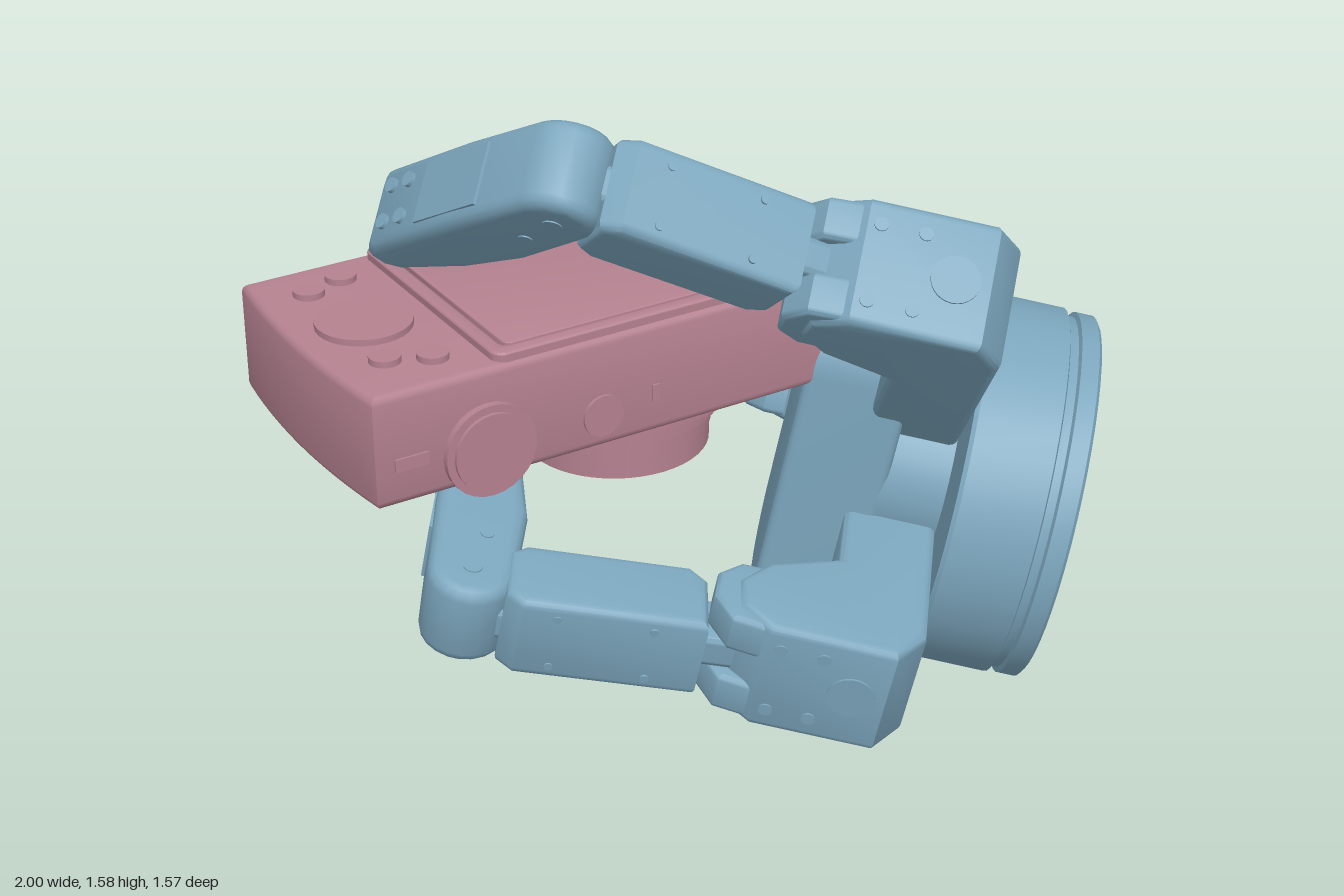
import * as THREE from 'three';
import { toCreasedNormals } from 'three/addons/utils/BufferGeometryUtils.js';

const blue = new THREE.MeshStandardMaterial({ color: 0x7ca6bd });
const pink = new THREE.MeshStandardMaterial({ color: 0xb58290 });

function add(parent, name, geometry, material, x = 0, y = 0, z = 0) {
  const mesh = new THREE.Mesh(geometry, material);
  mesh.name = name;
  mesh.position.set(x, y, z);
  parent.add(mesh);
  return mesh;
}

function bevelled(shape, thickness, b) {
  const geo = new THREE.ExtrudeGeometry(shape, {
    depth: thickness - 2 * b, bevelSize: b, bevelThickness: b, bevelOffset: -b,
    bevelSegments: 3, curveSegments: 12,
  });
  geo.translate(0, 0, b - thickness / 2);
  return toCreasedNormals(geo, 0.6);
}

// Side profile thickened evenly along z
const slab = (points, width, b) =>
  bevelled(new THREE.Shape(points.map(([x, y]) => new THREE.Vector2(x, y))), width, b);

// Plan shape (x, z) raised from y0 to y1
const plate = (shape, y0, y1, b) =>
  bevelled(shape, y1 - y0, b).rotateX(Math.PI / 2).translate(0, (y0 + y1) / 2, 0);

const lathe = (points) => toCreasedNormals(
  new THREE.LatheGeometry(points.map(([x, y]) => new THREE.Vector2(x, y)), 48), 0.5);

function roundRect(x0, y0, x1, y1, r) {
  const s = new THREE.Shape();
  s.absarc(x1 - r, y1 - r, r, 0, Math.PI / 2);
  s.absarc(x0 + r, y1 - r, r, Math.PI / 2, Math.PI);
  s.absarc(x0 + r, y0 + r, r, Math.PI, Math.PI * 1.5);
  s.absarc(x1 - r, y0 + r, r, Math.PI * 1.5, Math.PI * 2);
  return s;
}

// Short cylinder along the chosen axis
function disc(parent, name, r, h, axis, material, x, y, z) {
  const geo = new THREE.CylinderGeometry(r, r, h, 28);
  if (axis === 'x') geo.rotateZ(Math.PI / 2);
  if (axis === 'z') geo.rotateX(Math.PI / 2);
  return add(parent, name, geo, material, x, y, z);
}

function createCamera() {
  const cam = new THREE.Group();
  cam.name = 'camera';

  // Body with a gently bowed end
  const body = new THREE.Shape();
  body.moveTo(0.185, -0.41);
  body.lineTo(0.185, 0.26);
  body.lineTo(-0.975, 0.26);
  body.quadraticCurveTo(-1.025, -0.075, -0.975, -0.41);
  add(cam, 'cameraBody', plate(body, 0.82, 1.09, 0.02), pink);

  // Screen surround with a recessed screen
  const frame = roundRect(-0.675, -0.4, 0.175, 0.25, 0.03);
  frame.holes.push(roundRect(-0.64, -0.365, 0.14, 0.215, 0.02));
  add(cam, 'screenFrame', plate(frame, 1.08, 1.11, 0.006), pink);
  add(cam, 'screen', plate(roundRect(-0.625, -0.35, 0.125, 0.2, 0.02), 1.08, 1.104, 0.004), pink);

  // Controls on the rear panel
  disc(cam, 'controlDial', 0.11, 0.03, 'y', pink, -0.83, 1.09, -0.075);
  for (const [x, z] of [[-0.87, -0.275], [-0.775, -0.31], [-0.87, 0.11], [-0.775, 0.15]])
    disc(cam, 'button', 0.036, 0.03, 'y', pink, x, 1.09, z);

  // Controls along the top edge of the camera
  disc(cam, 'modeDial', 0.11, 0.03, 'z', pink, -0.705, 0.9, 0.262);
  disc(cam, 'modeDialCap', 0.092, 0.016, 'z', pink, -0.705, 0.9, 0.278);
  disc(cam, 'shutterButton', 0.05, 0.014, 'z', pink, -0.42, 0.9, 0.26);
  add(cam, 'switchPlate', new THREE.BoxGeometry(0.08, 0.03, 0.01), pink, -0.89, 0.92, 0.26);
  add(cam, 'indicator', new THREE.BoxGeometry(0.018, 0.04, 0.01), pink, -0.285, 0.92, 0.26);

  // Stepped lens barrel with a recessed front
  add(cam, 'lens', lathe([
    [0, 0.665], [0.085, 0.665], [0.1, 0.635], [0.205, 0.63], [0.22, 0.635], [0.22, 0.69],
    [0.225, 0.69], [0.225, 0.735], [0.245, 0.735], [0.245, 0.79], [0.295, 0.79], [0.295, 0.83],
  ]), pink, -0.195, 0, -0.075);
  const gate = roundRect(-0.085, -0.085, 0.085, 0.085, 0.01);
  gate.holes.push(roundRect(-0.055, -0.04, 0.055, 0.04, 0.01));
  add(cam, 'lensGate', plate(gate, 0.645, 0.67, 0.003), pink, -0.195, 0, -0.075);
  return cam;
}

// Finger in its own plane: x outward, y away from the wrist, z across
function createFinger(name, knuckleR, linkAngle, tipAngle) {
  const finger = new THREE.Group();
  finger.name = name;

  // Knuckle block
  const block = new THREE.Group();
  block.name = 'knuckleBlock';
  block.position.x = knuckleR;
  finger.add(block);
  add(block, 'blockBody', slab([
    [-0.56, 0.28], [0.03, 0.28], [0.12, 0.34], [0.12, 0.63], [0.06, 0.71], [-0.03, 0.72],
    [-0.11, 0.66], [-0.18, 0.5], [-0.56, 0.5]], 0.3, 0.02), blue);
  for (const side of [-1, 1]) {
    add(block, 'knuckleCheek', slab([
      [-0.1, 0.6], [0.115, 0.6], [0.1, 0.72], [0.03, 0.77], [-0.05, 0.77], [-0.1, 0.72]],
    0.1, 0.015), blue, 0, 0, side * 0.09);
    for (const y of [0.5, 0.6])
      disc(block, 'blockScrew', 0.016, 0.008, 'x', blue, 0.12, y, side * 0.09);
  }
  disc(block, 'blockPlug', 0.055, 0.01, 'x', blue, 0.12, 0.42, 0);

  // Inner link with thin tongues at both joints
  const length = 0.62;
  const link = new THREE.Group();
  link.name = 'innerLink';
  link.position.set(knuckleR, 0.7, 0);
  link.rotation.z = linkAngle;
  finger.add(link);
  add(link, 'linkBody', slab([
    [-0.1, 0.12], [-0.06, 0.08], [0.1, 0.08], [0.105, 0.5], [0.07, 0.54], [-0.07, 0.54], [-0.1, 0.5]],
    0.22, 0.022), blue);
  add(link, 'linkTongue', plate(roundRect(-0.07, -0.045, 0.07, 0.045, 0.02), -0.06, length + 0.05, 0.01), blue);
  disc(link, 'linkPin', 0.045, 0.2, 'z', blue, 0, 0, 0);
  for (const z of [-0.07, 0.07])
    for (const y of [0.2, 0.42])
      disc(link, 'linkScrew', 0.01, 0.006, 'x', blue, 0.105, y, z);

  // Fingertip: round joint, straight back, swelling pad
  const tip = new THREE.Group();
  tip.name = 'fingertip';
  tip.position.copy(new THREE.Vector3(0, length, 0).applyEuler(link.rotation).add(link.position));
  tip.rotation.z = tipAngle;
  finger.add(tip);
  const profile = [];
  for (let i = 0; i <= 10; i++) {
    const a = Math.PI + (i / 10) * Math.PI;
    profile.push([0.1 * Math.cos(a), 0.1 * Math.sin(a)]);
  }
  profile.push([0.09, 0.25], [0.06, 0.56], [0.035, 0.6], [-0.02, 0.61], [-0.06, 0.58], [-0.11, 0.4], [-0.125, 0.22]);
  add(tip, 'tipBody', slab(profile, 0.21, 0.03), blue);
  const panel = add(tip, 'backPanel', new THREE.BoxGeometry(0.02, 0.23, 0.15), blue, 0.082, 0.27, 0);
  panel.rotation.z = 0.08;
  for (const z of [-0.045, 0.045])
    for (const y of [0.45, 0.52])
      disc(tip, 'tipScrew', 0.018, 0.03, 'x', blue, 0.066 - (y - 0.45) * 0.1, y, z);
  for (const side of [-1, 1]) {
    disc(tip, 'jointCap', 0.022, 0.006, 'z', blue, 0, 0, side * 0.105);
    disc(tip, 'sideScrew', 0.016, 0.006, 'z', blue, -0.03, 0.12, side * 0.105);
  }
  return finger;
}

function createHand() {
  const hand = new THREE.Group();
  hand.name = 'gripperHand';

  // Tilted frame: y runs from the wrist toward the palm
  const y = new THREE.Vector3(-0.785, 0.2, -0.585).normalize();
  const z = new THREE.Vector3(0, -1, 0).addScaledVector(y, y.y).normalize();
  const x = new THREE.Vector3().crossVectors(y, z);
  hand.quaternion.setFromRotationMatrix(new THREE.Matrix4().makeBasis(x, y, z));
  hand.position.set(0.73, 0.435, 0.44);

  // Wrist drum with a groove
  add(hand, 'wristDrum', lathe([
    [0, 0], [0.435, 0], [0.446, 0.008], [0.446, 0.05], [0.434, 0.055], [0.434, 0.075],
    [0.45, 0.08], [0.45, 0.27], [0.444, 0.28], [0, 0.28],
  ]), blue);

  // Neck and palm
  add(hand, 'neck', new THREE.CylinderGeometry(0.23, 0.23, 0.3, 36), blue, -0.02, 0.4, 0);
  add(hand, 'palm', plate(roundRect(-0.24, -0.45, 0.21, 0.42, 0.17), 0.42, 0.67, 0.02), blue);

  // Two spreading fingers and a thumb: heading, sideways offset, knuckle reach, bends
  for (const [name, heading, offset, reach, link, tip] of [
    ['upperFinger', 47, -0.145, 0.735, -0.31, 0.87],
    ['lowerFinger', -8, 0.165, 0.57, -0.13, 1.42],
    ['thumb', 195, 0.095, 0.485, 0.12, 1.04],
  ]) {
    const pivot = new THREE.Group();
    pivot.name = name + 'Mount';
    pivot.rotation.y = THREE.MathUtils.degToRad(heading);
    const finger = createFinger(name, reach, link, tip);
    finger.position.z = offset;
    pivot.add(finger);
    hand.add(pivot);
  }
  return hand;
}

export function createModel() {
  const model = new THREE.Group();
  model.name = 'gripperHoldingCamera';
  model.add(createCamera(), createHand());
  return model;
}
